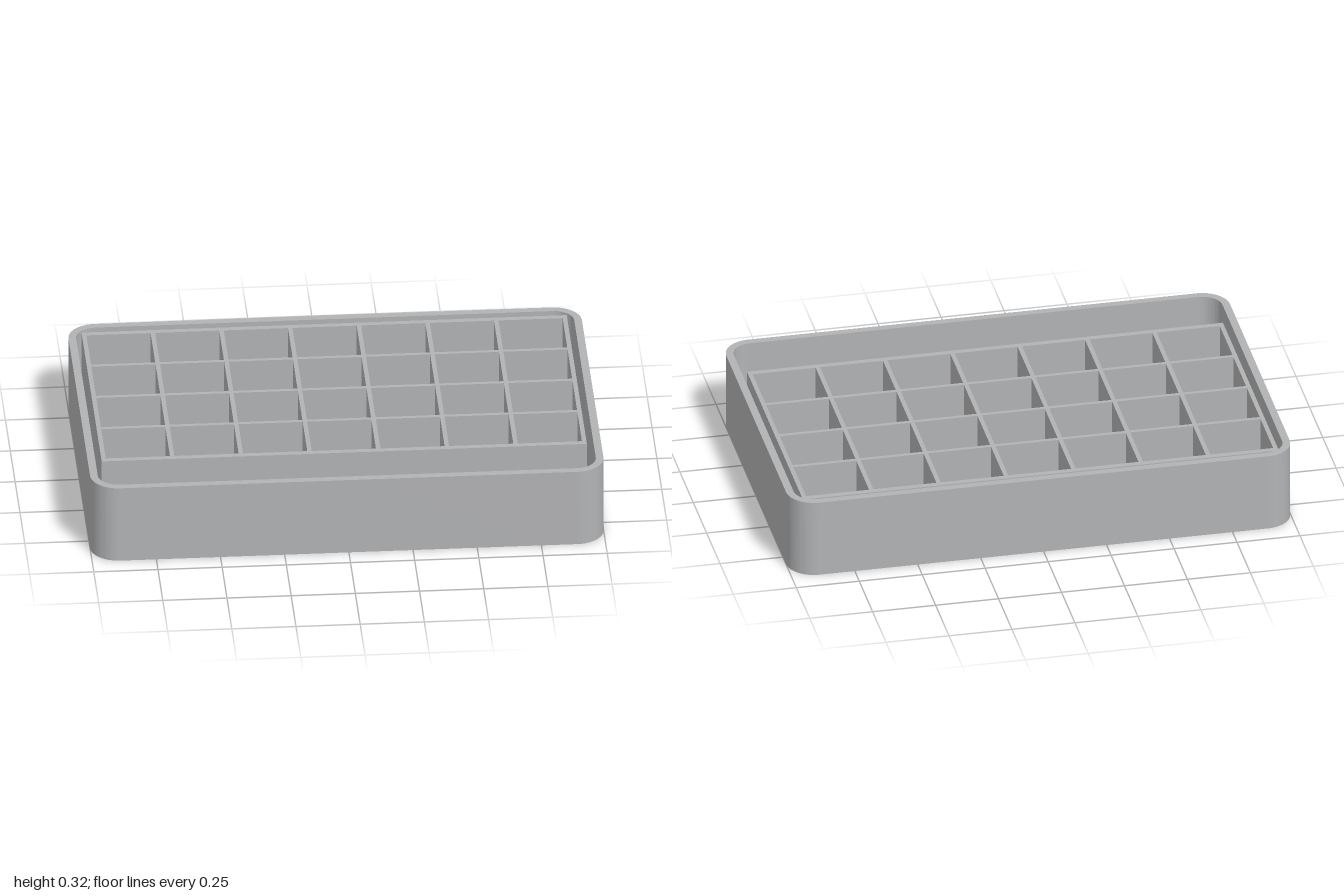
import * as THREE from 'three';
import { toCreasedNormals } from 'three/addons/utils/BufferGeometryUtils.js';

// Rounded (or square, r = 0) rectangle centred on cx, z
function outline(Base, w, d, r, cx = 0, z = 0) {
  const s = new Base(), x0 = cx - w / 2, x1 = cx + w / 2, y0 = -z - d / 2, y1 = -z + d / 2;
  s.moveTo(x0 + r, y0);
  s.lineTo(x1 - r, y0);
  if (r) s.absarc(x1 - r, y0 + r, r, -Math.PI / 2, 0);
  s.lineTo(x1, y1 - r);
  if (r) s.absarc(x1 - r, y1 - r, r, 0, Math.PI / 2);
  s.lineTo(x0 + r, y1);
  if (r) s.absarc(x0 + r, y1 - r, r, Math.PI / 2, Math.PI);
  s.lineTo(x0, y0 + r);
  if (r) s.absarc(x0 + r, y0 + r, r, Math.PI, Math.PI * 1.5);
  return s;
}

export function createModel() {
  const group = new THREE.Group();
  const grey = new THREE.MeshStandardMaterial({ color: 0xb2b3b5 });
  grey.name = 'light grey';

  // Extrude a plan shape upwards from y0 to y1
  function slab(name, shape, y0, y1) {
    const geo = new THREE.ExtrudeGeometry(shape, { depth: y1 - y0, bevelEnabled: false, curveSegments: 16 });
    geo.rotateX(-Math.PI / 2).translate(0, y0, 0);
    const mesh = new THREE.Mesh(toCreasedNormals(geo, 0.5), grey);
    mesh.name = name;
    group.add(mesh);
  }

  const W = 2, D = 1.334, H = 0.32, R = 0.11, wall = 0.03, floor = 0.03;

  // Outer tray: floor and rounded wall
  slab('trayFloor', outline(THREE.Shape, W, D, R), 0, floor);
  const rim = outline(THREE.Shape, W, D, R);
  rim.holes.push(outline(THREE.Path, W - 2 * wall, D - 2 * wall, R - wall));
  slab('trayWall', rim, floor, H);

  // Insert: 7 x 4 open compartments, leaving a free strip at the front
  const insertW = 1.89, insertD = 1.045, insertZ = -0.0925;
  slab('insertFloor', outline(THREE.Shape, insertW, insertD, 0, 0, insertZ), floor, floor + 0.015);
  const grid = outline(THREE.Shape, insertW, insertD, 0, 0, insertZ);
  for (let i = 0; i < 7; i++) {
    for (let j = 0; j < 4; j++) {
      grid.holes.push(outline(THREE.Path, 0.25, 0.237, 0, (i - 3) * 0.2675, insertZ + (j - 1.5) * 0.2535));
    }
  }
  slab('insertDividers', grid, floor + 0.015, 0.312);
  return group;
}
